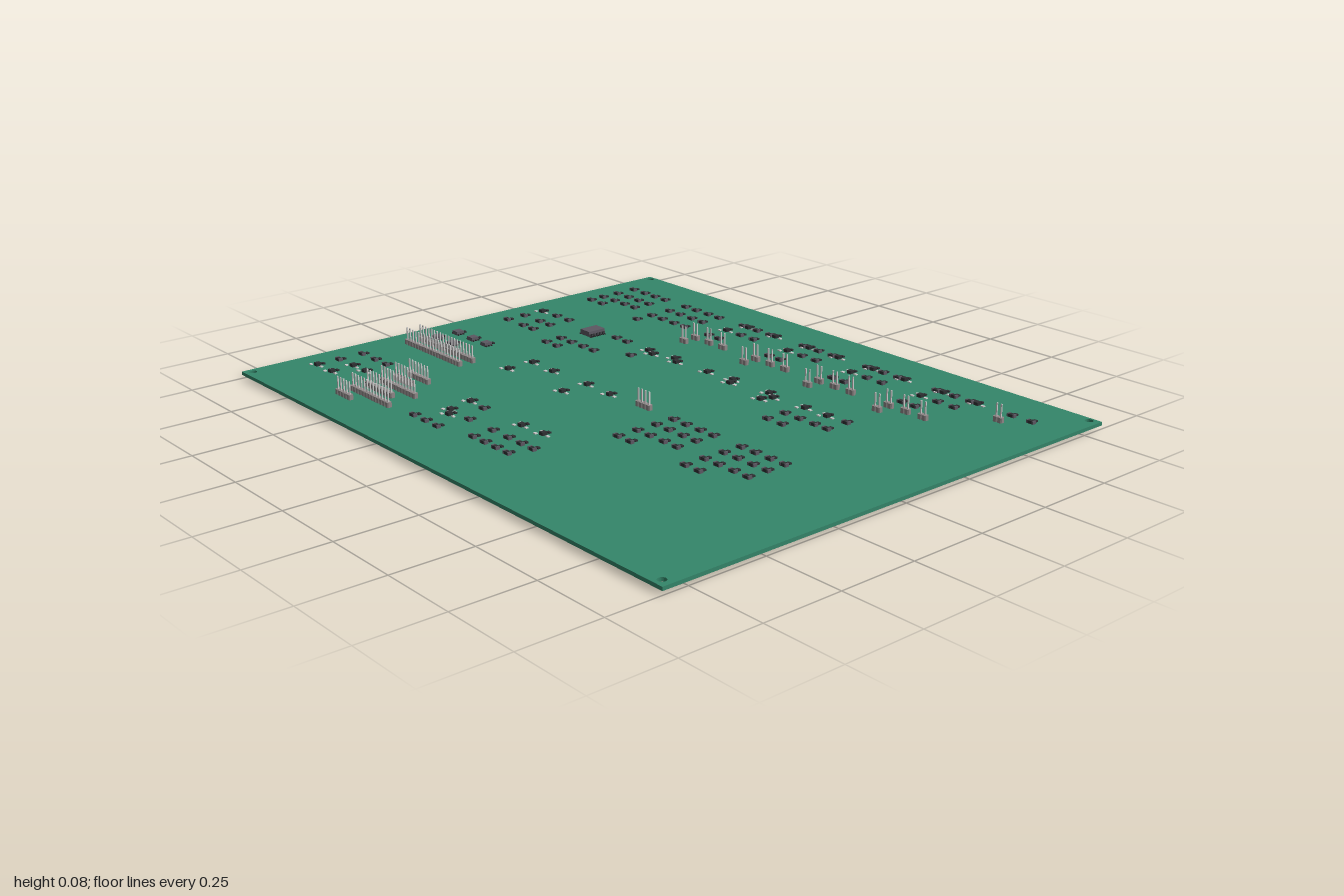
import * as THREE from 'three';
import { mergeGeometries } from 'three/addons/utils/BufferGeometryUtils.js';

const TOP = 0.022, BOTTOM = 0.011, PITCH = 0.0163;

const mat = (color) => new THREE.MeshStandardMaterial({ color });
const box = (w, h, d, x = 0, y = 0, z = 0) => new THREE.BoxGeometry(w, h, d).translate(x, y + h / 2, z);

export function createModel() {
  const model = new THREE.Group();
  const green = mat(0x34866a), dark = mat(0x2f3033), plastic = mat(0x8f8888);
  const metal = mat(0xcccccc), chipGrey = mat(0x5c5862);

  function add(name, geometry, material, parent = model) {
    const mesh = new THREE.Mesh(geometry, material);
    mesh.name = name;
    parent.add(mesh);
    return mesh;
  }

  // Board with four mounting holes
  const outline = new THREE.Shape([[-1, -0.83], [1, -0.83], [1, 0.83], [-1, 0.83]].map(([x, y]) => new THREE.Vector2(x, y)));
  for (const x of [-0.975, 0.97]) for (const y of [-0.805, 0.81]) {
    outline.holes.push(new THREE.Path().absarc(x, y, 0.0125, 0, Math.PI * 2, true));
  }
  const board = new THREE.ExtrudeGeometry(outline, { depth: TOP - BOTTOM, bevelEnabled: false, curveSegments: 12 });
  add('board', board.rotateX(-Math.PI / 2).translate(0, BOTTOM, 0), green);

  // Pin headers: [left end x, z, pin count]
  const headers = [
    [-0.91, 0.235, 19], [-0.91, 0.285, 19], [0.026, 0.092, 4],
    [-0.635, 0.455, 7], [-0.635, 0.505, 6], [-0.635, 0.555, 12],
    [-0.635, 0.605, 9], [-0.635, 0.657, 13], [-0.635, 0.708, 5], [0.79, -0.605, 2],
  ];
  for (const x of [-0.345, -0.06, 0.22, 0.505]) {
    for (const dx of [0, 0.066, 0.132]) headers.push([x + dx, -0.455, 2]);
    headers.push([x, -0.405, 2]);
  }
  for (const [x, z, n] of headers) {
    const header = new THREE.Group();
    header.name = 'pinHeader';
    header.position.set(x, 0, z);
    const blocks = [], pins = [];
    for (let i = 0; i < n; i++) {
      const px = (i + 0.5) * PITCH;
      // chamfered square housing of each pin
      const c = PITCH / 2, e = c * 0.6;
      const shape = new THREE.Shape([[-c, -e], [-e, -c], [e, -c], [c, -e], [c, e], [e, c], [-e, c], [-c, e]]
        .map(([a, b]) => new THREE.Vector2(a, b)));
      blocks.push(new THREE.ExtrudeGeometry(shape, { depth: 0.016, bevelEnabled: false })
        .rotateX(-Math.PI / 2).translate(px, TOP, 0));
      pins.push(box(0.004, 0.078, 0.004, px));
    }
    add('headerHousing', mergeGeometries(blocks), plastic, header);
    add('headerPins', mergeGeometries(pins), metal, header);
    model.add(header);
  }

  // Small two-terminal parts: [z, list of x]
  const blocksX = [-0.33, -0.045, 0.235, 0.52];
  const passives = [
    [-0.675, [-0.9, -0.84, -0.785, -0.73, -0.62, -0.565, -0.505, -0.45]],
    [-0.6, [-0.9, -0.84, -0.785, -0.73, -0.62, -0.565, -0.505, -0.45]],
    [-0.535, [-0.9, -0.84, -0.785, -0.73]],
    [-0.52, [-0.62, -0.565, -0.505, -0.45]],
    [-0.48, [-0.9, -0.84]], [-0.455, [-0.62]],
    [-0.675, [0.805, 0.875]],
    [-0.27, [-0.825, -0.76, -0.62, -0.505, -0.45, 0.535]],
    [-0.19, [-0.9, -0.815, -0.76, -0.335, 0.365, 0.425, 0.485, 0.535]],
    [-0.13, [-0.62, -0.565, -0.505, -0.45]],
    [-0.12, [-0.9, -0.815, -0.76, 0.365, 0.425]],
    [-0.07, [-0.62, -0.565]],
    ...[0.09, 0.155, 0.225].map((z) => [z, [0.195, 0.25, 0.31, 0.365, 0.48, 0.535, 0.595, 0.65]]),
    [0.295, [0.195, 0.25, 0.48, 0.535]],
    [0.45, [-0.9, -0.825, -0.76, -0.235]],
    [0.535, [-0.9, -0.185, -0.07, 0.005, 0.065, 0.12]],
    [0.605, [-0.065, -0.01, 0.045, 0.1]],
    [0.635, [-0.32, -0.26, -0.2]],
  ];
  for (const x of blocksX) {
    passives.push([-0.675, [x, x + 0.068, x + 0.13]], [-0.6, [x + 0.068, x + 0.13]], [-0.52, [x, x + 0.05]]);
  }
  const passiveBody = mergeGeometries([box(0.02, 0.009, 0.013, 0, TOP, 0.009), box(0.013, 0.005, 0.009, 0, TOP, -0.01)]);
  const passiveEnds = mergeGeometries([-1, 1].map((s) => box(0.005, 0.0095, 0.0135, s * 0.01, TOP, 0.009)));
  for (const [z, xs] of passives) for (const x of xs) {
    const part = new THREE.Group();
    part.name = 'passivePart';
    part.position.set(x, 0, z);
    add('passiveBody', passiveBody, dark, part);
    add('passiveTerminals', passiveEnds, chipGrey, part);
    model.add(part);
  }

  // Transistors with spread solder pads: [x, z]
  const transistors = [
    [-0.9, -0.26], [-0.335, -0.26], [-0.3, -0.245], [-0.22, -0.27], [-0.19, -0.25],
    [-0.055, -0.26], [0.05, -0.27], [0.065, -0.245], [0.21, -0.27], [0.245, -0.25], [0.23, -0.215],
    [0.37, -0.26], [0.46, -0.26], [-0.48, 0.095], [-0.37, 0.1], [-0.205, 0.095], [-0.09, 0.1],
    [-0.48, 0.19], [-0.205, 0.19], [-0.31, 0.45], [-0.05, 0.455], [0.045, 0.45],
    [-0.29, 0.535], [-0.26, 0.56], [-0.9, 0.62], [-0.815, 0.62], [-0.82, 0.54], [-0.75, 0.54],
  ];
  for (const x of blocksX) transistors.push([x + 0.025, -0.67], [x + 0.155, -0.67], [x, -0.595]);
  const transistorBody = mergeGeometries([box(0.016, 0.01, 0.017, 0, TOP, 0), box(0.012, 0.005, 0.008, 0, TOP, -0.02)]);
  const transistorPads = mergeGeometries([[-0.021, -0.012], [-0.021, 0.012], [0.021, 0]]
    .map(([x, z]) => box(0.011, 0.003, 0.009, x, TOP, z)));
  for (const [x, z] of transistors) {
    const part = new THREE.Group();
    part.name = 'transistor';
    part.position.set(x, 0, z);
    add('transistorBody', transistorBody, dark, part);
    add('transistorPads', transistorPads, metal, part);
    model.add(part);
  }

  // Square regulators near the long headers
  for (const [x, z] of [[-0.885, 0.1], [-0.8, 0.1], [-0.725, 0.1], [-0.885, 0.18], [-0.8, 0.18]]) {
    const part = new THREE.Group();
    part.name = 'regulator';
    part.position.set(x, 0, z);
    add('regulatorBody', box(0.027, 0.012, 0.027, 0, TOP, 0), chipGrey, part);
    add('regulatorLeads', mergeGeometries([-0.01, 0, 0.01].flatMap((dz) =>
      [-1, 1].map((s) => box(0.006, 0.004, 0.004, s * 0.016, TOP, dz)))), dark, part);
    add('regulatorMarker', box(0.012, 0.005, 0.008, 0, TOP, -0.026), dark, part);
    model.add(part);
  }

  // Main chip with a row of leads on each side
  const chip = new THREE.Group();
  chip.name = 'mainChip';
  chip.position.set(-0.595, 0, -0.237);
  add('chipBody', box(0.046, 0.017, 0.066, 0, TOP + 0.002, 0), chipGrey, chip);
  const leads = [];
  for (let i = 0; i < 10; i++) for (const s of [-1, 1]) {
    leads.push(box(0.008, 0.003, 0.003, s * 0.027, TOP, (i - 4.5) * 0.0065));
    leads.push(box(0.003, 0.01, 0.003, s * 0.024, TOP, (i - 4.5) * 0.0065));
  }
  add('chipLeads', mergeGeometries(leads), dark, chip);
  model.add(chip);

  return model;
}
